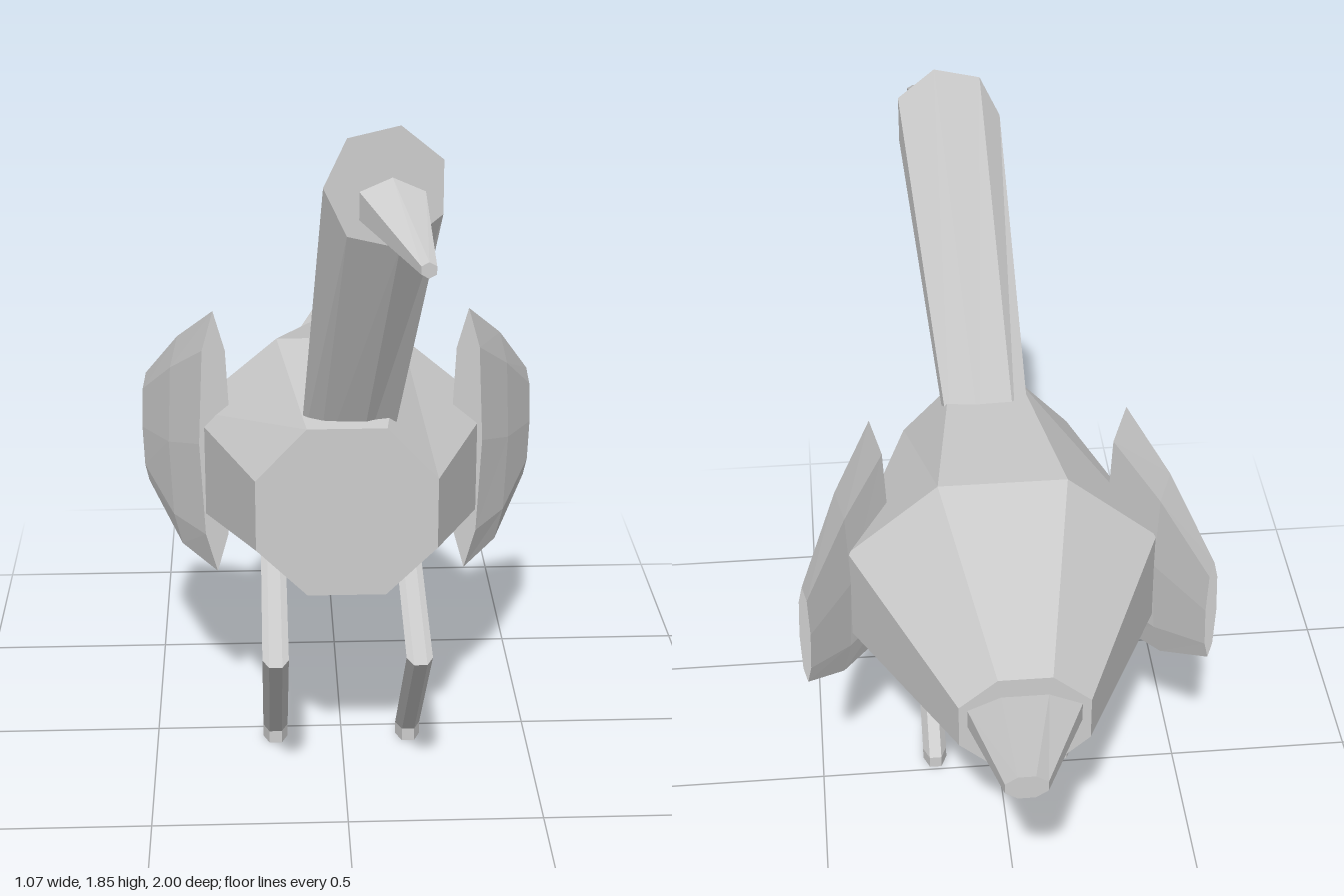
import * as THREE from 'three';

const grey = new THREE.MeshStandardMaterial({ color: 0xcccccc, flatShading: true });
grey.name = 'plain grey';

// Elliptical ring of n points facing z
const ringZ = (n, start, cx, cy, z, rx, ry) =>
  Array.from({ length: n }, (_, i) => {
    const a = start + (i / n) * Math.PI * 2;
    return new THREE.Vector3(cx + rx * Math.cos(a), cy + ry * Math.sin(a), z);
  });

// Elliptical ring of n points lying flat at height y
const ringY = (n, cx, y, cz, rx, rz) =>
  Array.from({ length: n }, (_, i) => {
    const a = (i / n) * Math.PI * 2;
    return new THREE.Vector3(cx + rx * Math.cos(a), y, cz + rz * Math.sin(a));
  });

// Chamfered rectangle facing z: half widths at side and top, four heights
const bodyRing = (z, side, flat, top, upper, lower, bottom) =>
  [[side, lower], [side, upper], [flat, top], [-flat, top],
    [-side, upper], [-side, lower], [-flat, bottom], [flat, bottom]]
    .map(([x, y]) => new THREE.Vector3(x, y, z));

// Skin a row of rings, close both ends, and make all faces point outward
function loft(name, rings) {
  const n = rings[0].length;
  const tris = [];
  for (let r = 0; r < rings.length - 1; r++) {
    for (let i = 0; i < n; i++) {
      const j = (i + 1) % n;
      const [a, b, c, d] = [rings[r][i], rings[r][j], rings[r + 1][j], rings[r + 1][i]];
      tris.push([a, b, c], [a, c, d]);
    }
  }
  const first = rings[0], last = rings[rings.length - 1];
  for (let i = 1; i < n - 1; i++) {
    tris.push([first[0], first[i + 1], first[i]], [last[0], last[i], last[i + 1]]);
  }
  const o = first[0];
  let volume = 0;
  for (const [a, b, c] of tris) {
    volume += a.clone().sub(o).dot(b.clone().sub(o).cross(c.clone().sub(o)));
  }
  const points = tris.flatMap(([a, b, c]) => (volume < 0 ? [a, c, b] : [a, b, c]));
  const geometry = new THREE.BufferGeometry().setFromPoints(points);
  geometry.computeVertexNormals();
  const mesh = new THREE.Mesh(geometry, grey);
  mesh.name = name;
  return mesh;
}

export function createModel() {
  const bird = new THREE.Group();
  bird.name = 'longNeckedBird';

  // Faceted body, widest just behind the middle
  bird.add(loft('body', [
    bodyRing(0.405, 0.225, 0.098, 1.04, 0.905, 0.72, 0.595),
    bodyRing(-0.11, 0.4, 0.165, 1.093, 0.895, 0.63, 0.435),
    bodyRing(-0.68, 0.16, 0.066, 0.94, 0.86, 0.74, 0.655),
  ]));

  // Leaning seven-sided neck with an upright cut at the top
  bird.add(loft('neck', [
    ringZ(7, Math.PI, 0, 0.89, 0.25, 0.115, 0.056),
    ringZ(7, Math.PI, 0.075, 1.715, 0.67, 0.14, 0.143),
  ]));

  // Beak floating in front of the neck
  bird.add(loft('beak', [
    ringZ(6, Math.PI / 2, 0.082, 1.702, 0.77, 0.083, 0.063),
    ringZ(6, Math.PI / 2, 0.145, 1.628, 1, 0.019, 0.018),
  ]));

  // Flat tapering tail
  const oct = Math.PI / 8, k = 1 / Math.cos(oct);
  bird.add(loft('tail', [
    ringZ(8, oct, 0, 0.823, -0.675, 0.14 * k, 0.063 * k),
    ringZ(8, oct, 0.03, 0.902, -1, 0.05 * k, 0.033 * k),
  ]));

  for (const [label, s] of [['left', 1], ['right', -1]]) {
    // Wing spreading outward and back
    bird.add(loft(label + 'Wing', [
      ringZ(8, 0, s * 0.328, 0.85, 0.02, 0.042, 0.365),
      ringZ(8, 0, s * 0.425, 0.802, -0.12, 0.03, 0.298),
      ringZ(8, 0, s * 0.519, 0.78, -0.287, 0.014, 0.158),
    ]));

    // Six-sided leg: foot, shin, forward knee and thin thigh
    const x = s * 0.18;
    bird.add(loft(label + 'Leg', [
      ringY(6, x, 0, 0.05, 0.033, 0.046),
      ringY(6, x, 0.035, 0.05, 0.033, 0.046),
      ringY(6, x, 0.443, 0.457, 0.033, 0.046),
      ringY(6, x, 0.545, -0.08, 0.033, 0.046),
    ]));
  }
  return bird;
}
